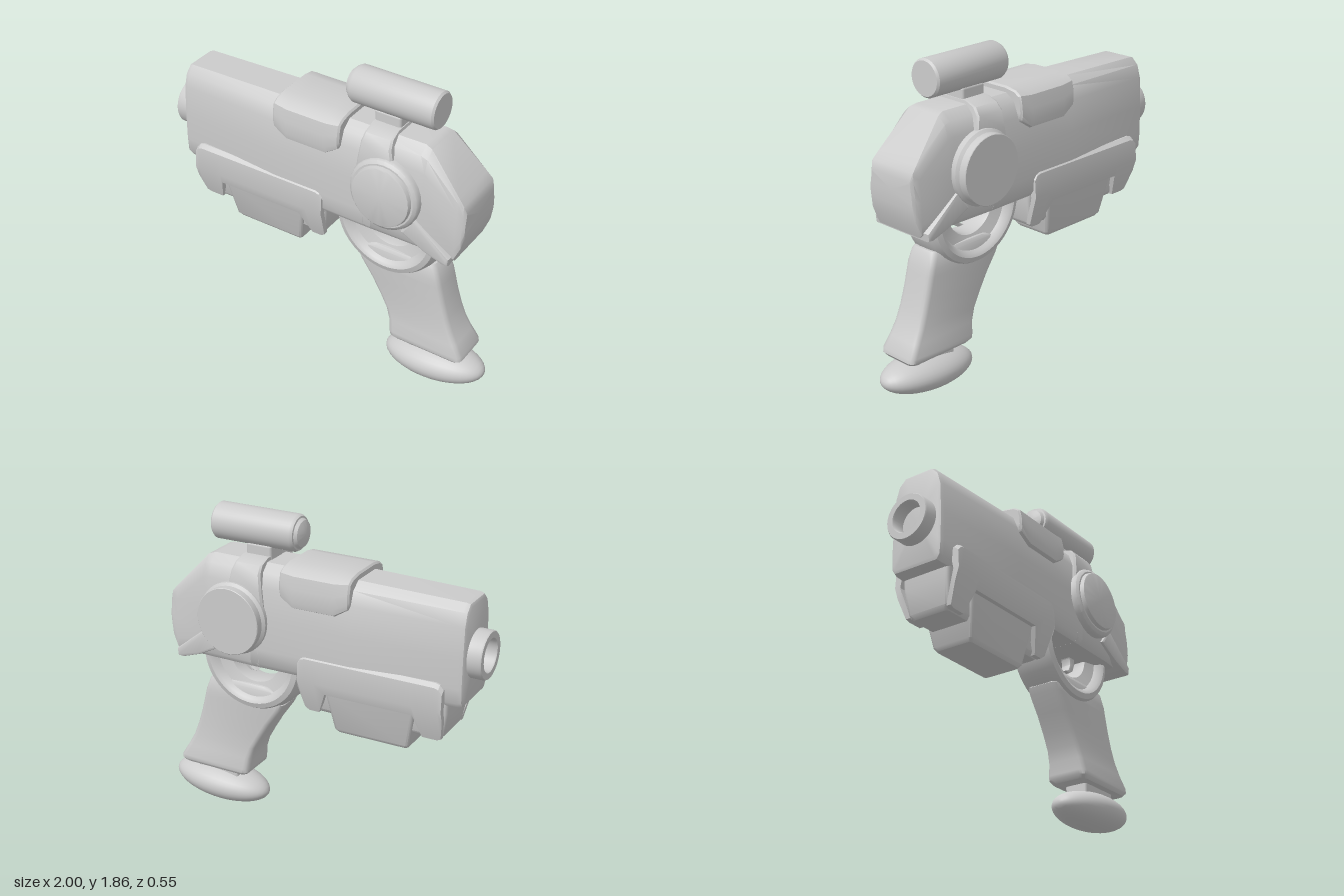
import * as THREE from 'three';
import { toCreasedNormals } from 'three/addons/utils/BufferGeometryUtils.js';
import { RoundedBoxGeometry } from 'three/addons/geometries/RoundedBoxGeometry.js';

const material = new THREE.MeshStandardMaterial({ color: 0xcccccc });

// Skin a row of equal-length closed sections, with fan caps at both ends
function loft(sections, crease = 0.6) {
  const n = sections[0].length, pos = sections.flat(2), idx = [];
  for (let s = 0; s < sections.length - 1; s++) {
    for (let i = 0; i < n; i++) {
      const a = s * n + i, b = s * n + (i + 1) % n;
      idx.push(a, b, a + n, b, b + n, a + n);
    }
  }
  [0, sections.length - 1].forEach((s, end) => {
    const c = pos.length / 3, mid = [0, 1, 2].map(k => sections[s].reduce((t, p) => t + p[k], 0) / n);
    pos.push(...mid);
    for (let i = 0; i < n; i++) {
      const a = s * n + i, b = s * n + (i + 1) % n;
      idx.push(c, ...(end ? [a, b] : [b, a]));
    }
  });
  // Turn the faces outward if the signed volume is negative
  const v = i => new THREE.Vector3().fromArray(pos, i * 3);
  let volume = 0;
  for (let i = 0; i < idx.length; i += 3) volume += v(idx[i]).dot(v(idx[i + 1]).cross(v(idx[i + 2])));
  if (volume < 0) idx.reverse();
  const g = new THREE.BufferGeometry();
  g.setAttribute('position', new THREE.Float32BufferAttribute(pos, 3));
  g.setIndex(idx);
  return toCreasedNormals(g, crease);
}

// Round-shouldered body section at x, from yb to yt
function bodySection(x, yb, yt, top, side) {
  const half = [[side * 0.86, 0], [side * 0.97, 0.05], [side, 0.2], [side * 0.985, 0.5], [side * 0.93, 0.8],
    [top + 0.65 * (side * 0.93 - top), 0.93], [top, 1]].map(([z, t]) => [x, yb + t * (yt - yb), z]);
  return [...half, ...half.slice().reverse().map(([px, y, z]) => [px, y, -z])];
}

// Rounded rectangle section at height y
function rectSection(y, x0, x1, w, r) {
  const pts = [], cx = [x1 - r, x0 + r, x0 + r, x1 - r], cz = [w - r, w - r, r - w, r - w];
  for (let q = 0; q < 4; q++) {
    for (let i = 0; i <= 3; i++) {
      const a = (q + i / 3) * Math.PI / 2;
      pts.push([cx[q] + r * Math.cos(a), y, cz[q] + r * Math.sin(a)]);
    }
  }
  return pts;
}

const lathe = (pts, seg = 40, start = 0, len = Math.PI * 2) =>
  toCreasedNormals(new THREE.LatheGeometry(pts.map(p => new THREE.Vector2(...p)), seg, start, len), 0.6);

// Side profile extruded symmetrically about z = 0
function slab(pts, halfWidth, bevel) {
  const g = new THREE.ExtrudeGeometry(new THREE.Shape(pts.map(p => new THREE.Vector2(...p))), {
    depth: 2 * (halfWidth - bevel), bevelSize: bevel, bevelThickness: bevel, bevelOffset: -bevel, bevelSegments: 2,
  });
  return toCreasedNormals(g.translate(0, 0, bevel - halfWidth), 0.6);
}

export function createModel() {
  const group = new THREE.Group();
  const add = (name, geometry, x = 0, y = 0, z = 0) => {
    const m = new THREE.Mesh(geometry, material);
    m.name = name;
    m.position.set(x, y, z);
    group.add(m);
    return m;
  };
  const sections = rows => rows.map(r => bodySection(...r));

  // Main body and sloped rear housing
  add('body', loft(sections([
    [-0.92, 1.03, 1.56, 0.085, 0.15], [-0.912, 1.015, 1.575, 0.09, 0.163], [-0.89, 1.01, 1.582, 0.095, 0.17],
    [-0.27, 1.0, 1.595, 0.1, 0.2], [0.35, 0.995, 1.6, 0.1, 0.2]])));
  add('rearHousing', loft(sections([
    [0.3, 0.995, 1.6, 0.1, 0.2], [0.62, 0.995, 1.603, 0.1, 0.195], [0.66, 0.995, 1.59, 0.11, 0.193],
    [0.85, 0.985, 1.385, 0.148, 0.178], [0.885, 1.07, 1.345, 0.155, 0.172], [0.9, 1.15, 1.3, 0.145, 0.16]])));

  // Top cover with chamfered lower corners
  add('topCover', loft([[-0.272, 1.47, 1.622, 0.09, 0.2], [-0.262, 1.45, 1.632, 0.095, 0.21],
    [-0.18, 1.4, 1.634, 0.095, 0.217], [0.07, 1.4, 1.634, 0.095, 0.217], [0.145, 1.45, 1.632, 0.095, 0.212],
    [0.155, 1.47, 1.622, 0.09, 0.202]].map(r => bodySection(...r))));

  // Band over the body that widens towards the side discs
  add('band', loft([[0.29, -0.13, 0.09, 0.2], [0.3, -0.13, 0.1, 0.212], [0.44, 0.22, 0.1, 0.212], [0.45, 0.22, 0.09, 0.2]]
    .map(([x, lean, top, side]) => bodySection(x, 1.3, 1.618, top, side)
      .map(([px, y, z]) => [px + lean * (1.618 - y), y, z]))));

  // Hollow muzzle
  add('muzzle', lathe([[0.09, 0.02], [0.135, 0.02], [0.135, 0.132], [0.13, 0.14], [0.095, 0.14], [0.09, 0.132],
    [0.09, 0.03], [0, 0.03]]).rotateZ(Math.PI / 2), -0.86, 1.275, 0);

  // Side discs
  add('leftDisc', lathe([[0.205, 0.12], [0.212, 0.21], [0.205, 0.228], [0.188, 0.24], [0.178, 0.24],
    [0.172, 0.262], [0.165, 0.265], [0, 0.265]], 28).rotateX(Math.PI / 2), 0.445, 1.28, 0).rotation.x = -0.05;
  add('rightDisc', lathe([[0.205, 0.12], [0.21, 0.22], [0.195, 0.235], [0.195, 0.277], [0.192, 0.28], [0, 0.28]], 40)
    .rotateX(-Math.PI / 2), 0.445, 1.28, 0);

  // Wedge running from the discs around the lower rear edge
  add('rearBrace', slab([[0.54, 1.08], [0.62, 1.19], [0.84, 1.015], [0.835, 0.97], [0.8, 0.968], [0.69, 1.005]], 0.21, 0.015));

  // Sight tube with a domed lens
  add('sightMount', new RoundedBoxGeometry(0.16, 0.12, 0.13, 2, 0.015), 0.365, 1.62, 0);
  add('sightTube', lathe([[0, 0], [0.095, 0], [0.105, 0.012], [0.105, 0.5], [0.095, 0.518], [0.085, 0.52],
    [0.075, 0.538], [0.045, 0.55], [0, 0.555]]).rotateZ(Math.PI / 2), 0.652, 1.76, 0);

  // Under-barrel box, bottom block and flared side plates
  add('foreBox', loft([[1.04, -0.835, 0.03, 0.155], [0.95, -0.83, 0.03, 0.15], [0.81, -0.805, 0.01, 0.135],
    [0.785, -0.785, -0.01, 0.115]].map(r => rectSection(...r, 0.02))));
  add('foreBlock', loft([[0.95, -0.655, -0.1, 0.175], [0.93, -0.65, -0.105, 0.17], [0.7, -0.605, -0.145, 0.13],
    [0.68, -0.59, -0.16, 0.115]].map(r => rectSection(...r, 0.02))));
  for (const side of [1, -1]) {
    const plate = [[-0.822, 0.92, 1.11], [-0.8, 0.8, 1.135], [-0.775, 0.79, 1.143], [-0.69, 0.79, 1.143], [-0.65, 0.93, 1.143],
      [-0.12, 0.93, 1.143], [-0.06, 0.79, 1.143], [0.0, 0.79, 1.143], [0.025, 0.81, 1.135], [0.043, 0.95, 1.11]];
    add(side > 0 ? 'leftPlate' : 'rightPlate', loft(plate.map(([x, low, top]) => {
      const zLow = 0.215 - Math.max(0, 0.98 - low) * 0.36;
      return [[x, top, 0.185], [x, top - 0.02, 0.208], [x, 0.99, 0.215], [x, low, zLow], [x, low, zLow - 0.03],
        [x, 0.985, 0.18], [x, top, 0.15]].map(([px, y, z]) => [px, y, z * side]);
    }), 0.45));
  }

  // Half-ring trigger guard with a raised outer rim, and the trigger
  const rim = [[0.16, 0.05], [0.165, 0.065], [0.235, 0.085], [0.255, 0.12], [0.275, 0.13], [0.305, 0.12], [0.325, 0.085], [0.33, 0.04]];
  const ring = [...rim.map(([r, z]) => [r, -z]), ...rim.slice().reverse(), [0.16, -0.05]];
  add('triggerGuard', lathe(ring, 32, -Math.PI / 2, Math.PI).rotateX(Math.PI / 2), 0.4, 1.01, 0);
  add('trigger', slab([[0.43, 1.03], [0.46, 0.99], [0.465, 0.95], [0.45, 0.915], [0.415, 0.895], [0.455, 0.892],
    [0.49, 0.915], [0.508, 0.96], [0.505, 1.03]], 0.03, 0.004));

  // Slanted grip with a flared foot
  add('grip', loft([[0.83, 0.3, 0.69, 0.085], [0.81, 0.25, 0.705, 0.095], [0.74, 0.205, 0.73, 0.102], [0.7, 0.225, 0.74, 0.102],
    [0.6, 0.295, 0.765, 0.102], [0.5, 0.355, 0.795, 0.104], [0.42, 0.4, 0.825, 0.108], [0.35, 0.425, 0.862, 0.115],
    [0.28, 0.435, 0.903, 0.127], [0.255, 0.44, 0.906, 0.127], [0.235, 0.46, 0.89, 0.112]]
    .map(r => rectSection(...r, 0.035)), 0.75));

  // Rounded butt pad on a short neck
  add('neck', new RoundedBoxGeometry(0.28, 0.1, 0.14, 2, 0.015), 0.68, 0.21, 0);
  add('buttPad', new THREE.SphereGeometry(1, 32, 20).rotateZ(Math.PI / 2).scale(0.315, 0.107, 0.155), 0.685, 0.11, 0)
    .rotation.z = 0.07;

  return group;
}
